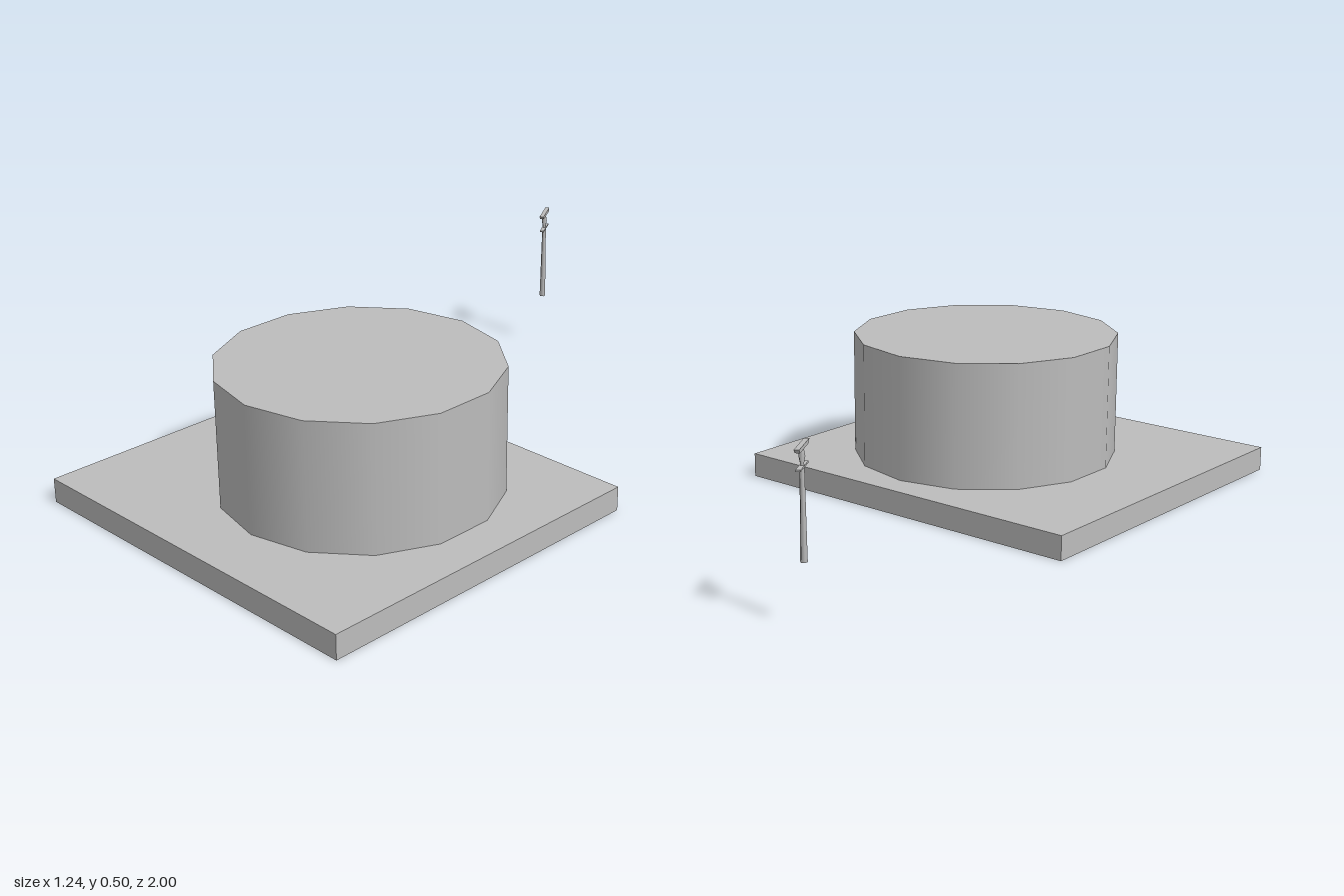
import * as THREE from 'three';

export function createModel() {
  const group = new THREE.Group();
  const grey = new THREE.MeshStandardMaterial({ color: 0xbcbcbc, side: THREE.DoubleSide });
  grey.name = 'plain grey';

  const add = (parent, name, geometry, x, y, z) => {
    const mesh = new THREE.Mesh(geometry, grey);
    mesh.name = name;
    mesh.position.set(x, y, z);
    parent.add(mesh);
    return mesh;
  };

  // Square base: a shallow box with an open underside
  const W = 1.235, H = 0.077, D = 1.13;
  const base = new THREE.Group();
  base.name = 'base';
  base.position.set(-0.0025, 0, 0.435);
  add(base, 'baseTop', new THREE.PlaneGeometry(W, D), 0, H, 0).rotation.x = -Math.PI / 2;
  for (const s of [1, -1]) {
    add(base, 'baseEndWall', new THREE.PlaneGeometry(W, H), 0, H / 2, s * D / 2).rotation.y = s > 0 ? 0 : Math.PI;
    add(base, 'baseSideWall', new THREE.PlaneGeometry(D, H), s * W / 2, H / 2, 0).rotation.y = s * Math.PI / 2;
  }
  group.add(base);

  // Fourteen-sided drum with smooth walls
  const drumHeight = 0.475 - H;
  add(group, 'drum', new THREE.CylinderGeometry(0.427, 0.427, drumHeight, 14), 0.063, H + drumHeight / 2, 0.386);

  // Free-standing pole with two crossarms
  const pole = new THREE.Group();
  pole.name = 'pole';
  pole.position.set(-0.402, 0, -0.952);
  pole.rotation.y = -Math.PI / 3;
  const profile = [[0, 0.182], [0.01, 0.182], [0.0065, 0.43], [0.0055, 0.447], [0.009, 0.465], [0.005, 0.488]]
    .map(([r, y]) => new THREE.Vector2(r, y));
  add(pole, 'post', new THREE.LatheGeometry(profile, 6), 0, 0, 0);
  add(pole, 'lowerCrossarm', new THREE.BoxGeometry(0.084, 0.005, 0.014), 0, 0.438, 0);

  // Upper crossarm, narrower along its underside
  const arm = new THREE.BoxGeometry(0.106, 0.011, 0.014);
  const p = arm.attributes.position;
  for (let i = 0; i < p.count; i++) if (p.getY(i) < 0) p.setX(i, p.getX(i) * 0.85);
  arm.computeVertexNormals();
  add(pole, 'upperCrossarm', arm, 0, 0.4905, 0);
  group.add(pole);

  return group;
}
